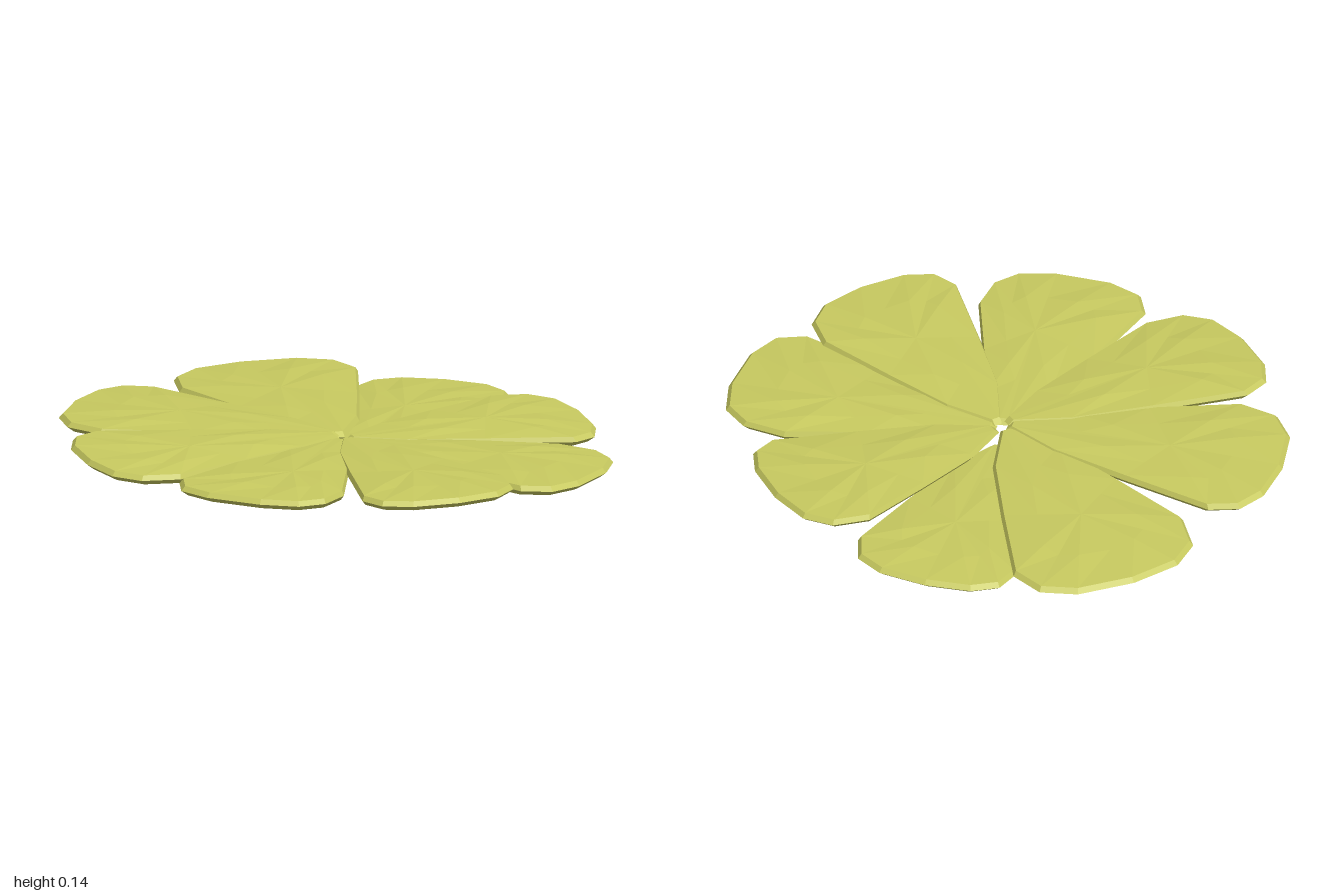
import * as THREE from 'three';

// All petals grow out of this point [x, z]
const HEART = [0.04, 0.04];

// Each petal: tip [x, z]; shoulder [station, half width] on its clockwise and
// counter-clockwise side (seen from above); plane y = y0 + a*x + b*z
const PETALS = [
  { name: 'petalBack', tip: [0.12, -1], cw: [0.79, 0.36], ccw: [0.75, 0.32], plane: [0.092, 0, 0.005] },
  { name: 'petalBackLeft', tip: [0.73, -0.6], cw: [0.8, 0.3], ccw: [0.82, 0.28], plane: [0.021, 0.045, 0] },
  { name: 'petalLeft', tip: [0.935, 0.08], cw: [0.84, 0.31], ccw: [0.75, 0.28], plane: [0.085, 0.006, -0.02] },
  { name: 'petalFrontLeft', tip: [0.72, 0.76], cw: [0.82, 0.35], ccw: [0.73, 0.24], plane: [0.082, -0.012, 0] },
  { name: 'petalFront', tip: [0.05, 1], cw: [0.83, 0.3], ccw: [0.77, 0.28], plane: [0.09, -0.01, 0.013] },
  { name: 'petalFrontRight', tip: [-0.59, 0.72], cw: [0.82, 0.35], ccw: [0.76, 0.235], plane: [0.088, -0.02, 0] },
  { name: 'petalRight', tip: [-0.94, 0.04], cw: [0.83, 0.31], ccw: [0.76, 0.265], plane: [0.103, -0.012, -0.04] },
  { name: 'petalBackRight', tip: [-0.66, -0.7], cw: [0.82, 0.3], ccw: [0.77, 0.325], plane: [0.098, -0.02, 0] },
];

// Rings from the underside, round the rim, to the domed top: [scale, height, flute]
const RINGS = [
  [0, -0.017, 0], [0.55, -0.019, 0.003], [0.94, -0.02, 0], [1, -0.002, 0],
  [0.965, 0.015, 0], [0.55, 0.023, 0.003], [0, 0.026, 0],
];

// One edge as [station, half width]: narrow stem, widening blade, rounded end
function edge([s, w]) {
  const round = [Math.PI / 6, Math.PI / 3].map((t) => [
    s + (1 - s) * Math.sin(t) ** 0.8, w * Math.cos(t) ** 0.8,
  ]);
  return [[0.02, 0.015], [0.25 * s, 0.38 * w], [0.6 * s, 0.68 * w], [s, w], ...round];
}

function petalGeometry({ tip, cw, ccw, plane: [y0, a, b] }) {
  const dx = tip[0] - HEART[0], dz = tip[1] - HEART[1];
  const length = Math.hypot(dx, dz);
  const place = ([t, w]) => [
    HEART[0] + dx * t - (dz / length) * w,
    HEART[1] + dz * t + (dx / length) * w,
  ];
  const mirrored = edge(ccw).map(([t, w]) => [t, -w]).reverse();
  const outline = [...edge(cw), [1, 0], ...mirrored].map(place);
  const [cx, cz] = place([0.6, 0]);
  const n = outline.length, last = RINGS.length - 2;
  const pos = [], index = [];

  for (const [s, h, flute] of RINGS) {
    outline.forEach(([px, pz], j) => {
      const x = cx + (px - cx) * s, z = cz + (pz - cz) * s;
      pos.push(x, y0 + a * x + b * z + h + (j % 2 ? flute : -flute), z);
    });
  }
  // the first and last rings are single points, so they take one triangle per side
  for (let i = 0; i <= last; i++) {
    for (let j = 0; j < n; j++) {
      const p = i * n + j, q = i * n + (j + 1) % n;
      if (i > 0) index.push(p, q, q + n);
      if (i < last) index.push(p, q + n, p + n);
    }
  }
  const indexed = new THREE.BufferGeometry();
  indexed.setAttribute('position', new THREE.Float32BufferAttribute(pos, 3));
  indexed.setIndex(index);
  const geometry = indexed.toNonIndexed();
  geometry.computeVertexNormals();
  return geometry;
}

export function createModel() {
  const flower = new THREE.Group();
  flower.name = 'flower';
  const material = new THREE.MeshStandardMaterial({ color: 0xc8ca60, flatShading: true });
  for (const petal of PETALS) {
    const mesh = new THREE.Mesh(petalGeometry(petal), material);
    mesh.name = petal.name;
    flower.add(mesh);
  }
  return flower;
}
